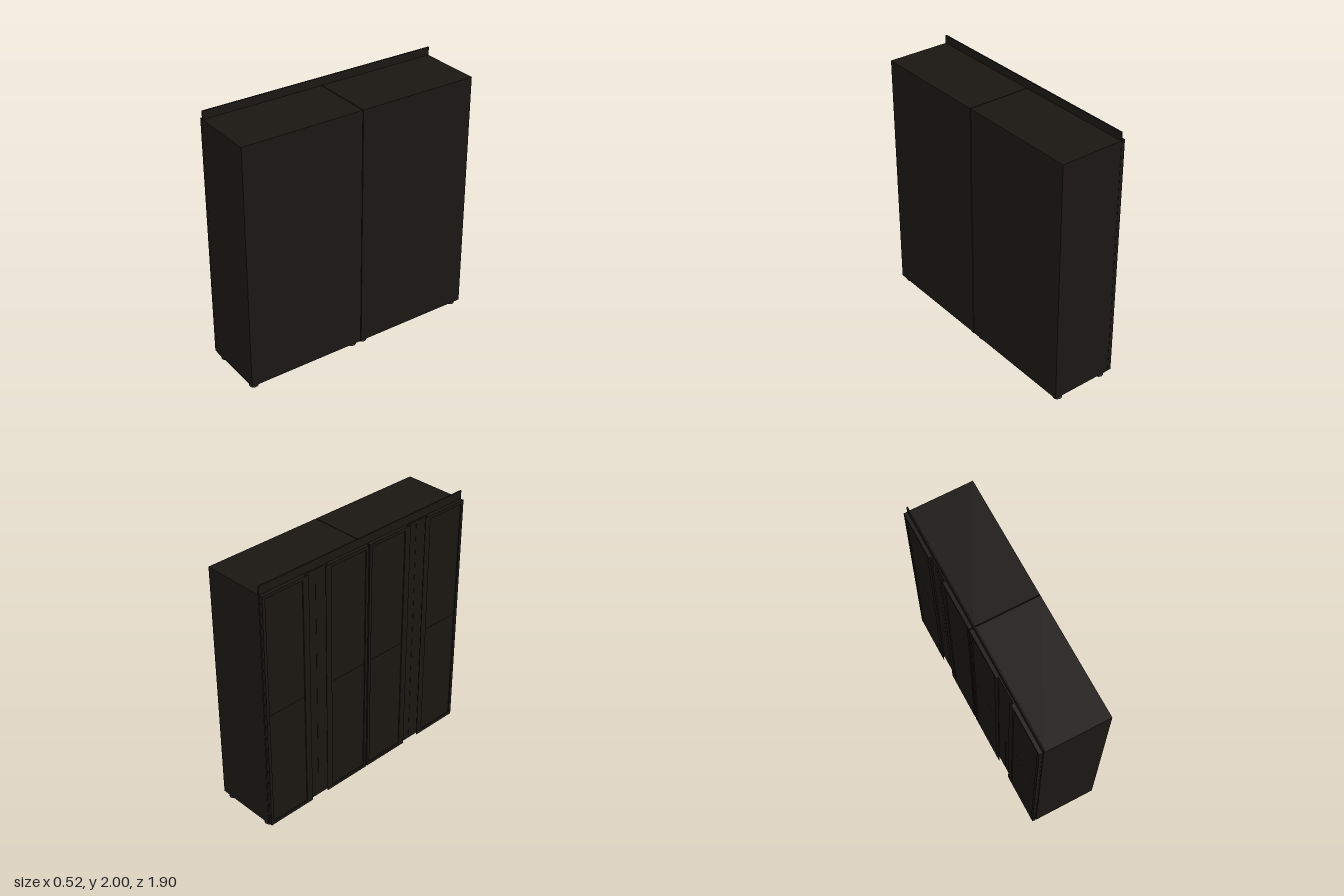
import * as THREE from 'three';

const WOOD = new THREE.MeshStandardMaterial({ color: 0x1b1713 });
const FOOT = new THREE.MeshStandardMaterial({ color: 0x353535 });
const BOTTOM = 0.036, TOP = 1.936;

// Box given by its min and max corners
function box(name, x0, x1, y0, y1, z0, z1) {
  const mesh = new THREE.Mesh(new THREE.BoxGeometry(x1 - x0, y1 - y0, z1 - z0), WOOD);
  mesh.position.set((x0 + x1) / 2, (y0 + y1) / 2, (z0 + z1) / 2);
  mesh.name = name;
  return mesh;
}

// Door hinged at z = 0, reaching to z = width; it faces -x
function makeDoor(width) {
  const door = new THREE.Group();
  const overlay = width - 0.1, border = 0.026;
  door.add(box('doorSlab', -0.246, -0.236, BOTTOM, TOP, 0.001, width - 0.001));

  // Raised frame around the panels
  const shape = new THREE.Shape([
    [0.002, BOTTOM], [overlay, BOTTOM], [overlay, TOP], [0.002, TOP],
  ].map(p => new THREE.Vector2(...p)));
  shape.holes.push(new THREE.Path([
    [border, BOTTOM + border], [border, TOP - border],
    [overlay - border, TOP - border], [overlay - border, BOTTOM + border],
  ].map(p => new THREE.Vector2(...p))));
  const frame = new THREE.Mesh(new THREE.ExtrudeGeometry(shape, { depth: 0.018, bevelEnabled: false }), WOOD);
  frame.rotation.y = -Math.PI / 2;
  frame.position.x = -0.246;
  frame.name = 'doorFrame';
  door.add(frame);

  // Two recessed panels with a fine joint at mid height
  const mid = (BOTTOM + TOP) / 2;
  door.add(box('lowerPanel', -0.256, -0.246, BOTTOM + border, mid - 0.001, border, overlay - border));
  door.add(box('upperPanel', -0.256, -0.246, mid + 0.001, TOP - border, border, overlay - border));

  // Thin grip lip beyond the frame
  door.add(box('gripLip', -0.264, -0.261, BOTTOM, TOP, overlay, overlay + 0.025));
  return door;
}

// Cabinet carcass with a pair of doors and four feet
function makeCabinet(z0, z1) {
  const cabinet = new THREE.Group();
  cabinet.add(box('carcass', -0.233, 0.26, BOTTOM, TOP, z0, z1));

  const width = (z1 - z0) / 2;
  const first = makeDoor(width);
  first.name = 'doorBack';
  first.position.z = z0;
  const second = makeDoor(width);
  second.name = 'doorFront';
  // Half turn about x at mid height mirrors the door along z
  second.rotation.x = Math.PI;
  second.position.set(0, BOTTOM + TOP, z1);
  cabinet.add(first, second);

  for (const x of [-0.187, 0.205]) {
    for (const z of [z0 + 0.045, z1 - 0.045]) {
      const foot = new THREE.Mesh(new THREE.CylinderGeometry(0.034, 0.034, BOTTOM, 24), FOOT);
      foot.position.set(x, BOTTOM / 2, z);
      foot.name = 'foot';
      cabinet.add(foot);
    }
  }
  return cabinet;
}

export function createModel() {
  const model = new THREE.Group();
  model.name = 'doubleWardrobe';
  const back = makeCabinet(-0.95, -0.003);
  back.name = 'backCabinet';
  const front = makeCabinet(0.003, 0.95);
  front.name = 'frontCabinet';
  // Filler strip standing above the doors
  model.add(back, front, box('fasciaStrip', -0.237, -0.227, TOP + 0.002, 2, -0.95, 0.95));
  return model;
}
